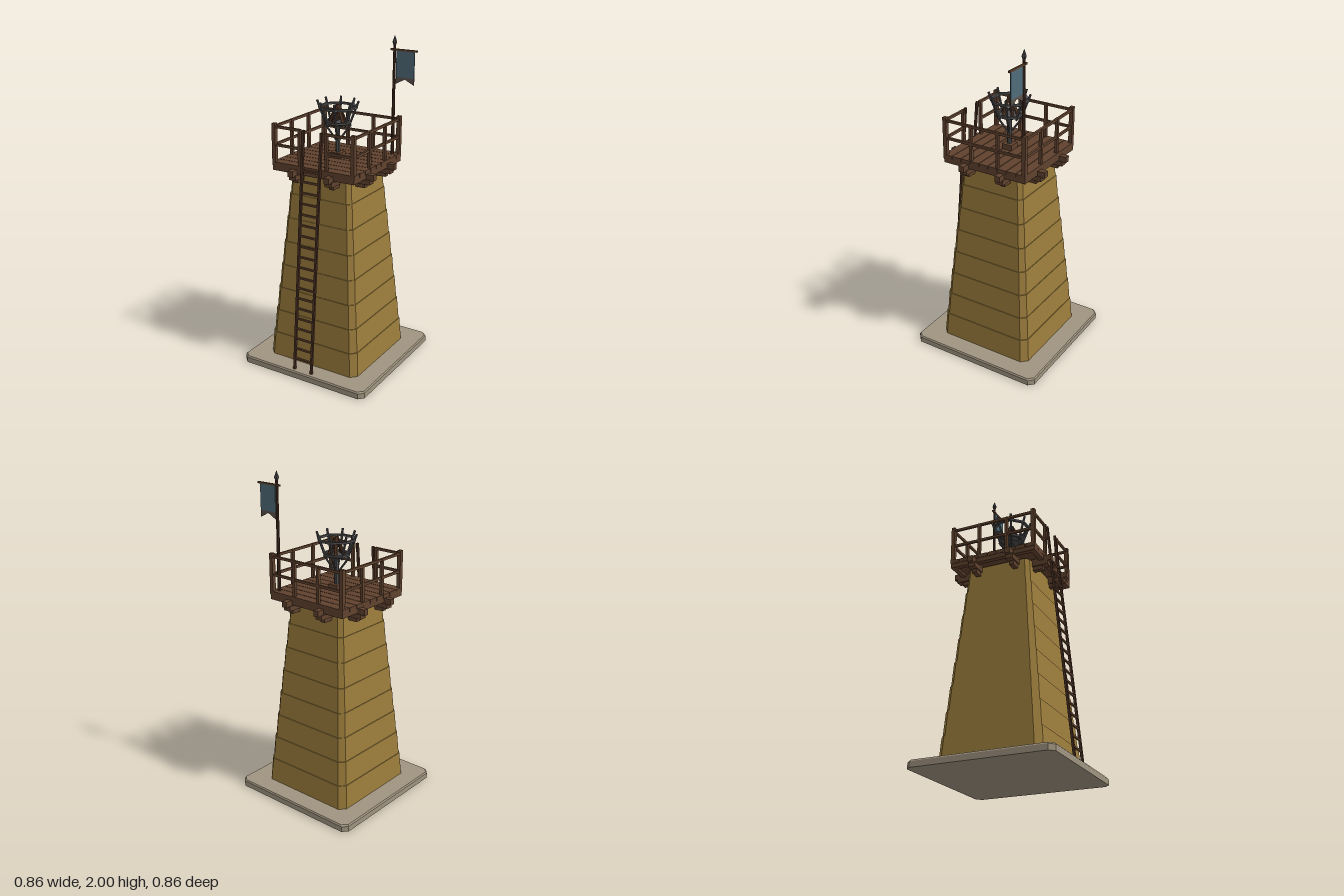
import * as THREE from 'three';

const mat = (name, color, side = THREE.FrontSide) => {
  const m = new THREE.MeshStandardMaterial({ color, side, flatShading: true });
  m.name = name;
  return m;
};

export function createModel() {
  const clay = mat('ochre masonry', 0x9c7d3c);
  const stone = mat('pale stone', 0xa09480);
  const wood = mat('timber', 0x60422e);
  const darkWood = mat('dark timber', 0x4a3023);
  const iron = mat('iron', 0x4e4e50);
  const cloth = mat('blue cloth', 0x4f6c79, THREE.DoubleSide);
  const hem = mat('flag hem', 0x5e5450, THREE.DoubleSide);

  const root = new THREE.Group();
  root.name = 'watchtower';
  const group = (name) => {
    const g = new THREE.Group();
    g.name = name;
    root.add(g);
    return g;
  };
  const add = (parent, name, geo, material, x = 0, y = 0, z = 0) => {
    const m = new THREE.Mesh(geo, material);
    m.name = name;
    m.position.set(x, y, z);
    parent.add(m);
    return m;
  };
  const box = (parent, name, material, w, h, d, x, y, z) =>
    add(parent, name, new THREE.BoxGeometry(w, h, d), material, x, y, z);
  // Bar between two points, its local y axis along the line
  const bar = (parent, name, material, geo, a, b) => {
    const from = new THREE.Vector3(...a), to = new THREE.Vector3(...b);
    const dir = to.clone().sub(from);
    const m = add(parent, name, geo(dir.length()), material);
    m.position.copy(from).add(to).multiplyScalar(0.5);
    m.quaternion.setFromUnitVectors(new THREE.Vector3(0, 1, 0), dir.normalize());
    return m;
  };
  // Loft of square sections with cut corners: [y, half width, cut]
  const cutSquareLoft = (sections) => {
    const rings = sections.map(([y, h, c]) => [
      [h, c - h], [h, h - c], [h - c, h], [c - h, h],
      [-h, h - c], [-h, c - h], [c - h, -h], [h - c, -h],
    ].map(([x, z]) => [x, y, z]));
    const pos = [];
    const tri = (...p) => p.forEach((v) => pos.push(...v));
    for (let r = 0; r < rings.length - 1; r++) {
      const a = rings[r], b = rings[r + 1];
      for (let i = 0; i < 8; i++) {
        const j = (i + 1) % 8;
        tri(a[i], b[i], b[j]);
        tri(a[i], b[j], a[j]);
      }
    }
    const bottom = rings[0], top = rings[rings.length - 1];
    for (let i = 1; i < 7; i++) {
      tri(bottom[0], bottom[i], bottom[i + 1]);
      tri(top[0], top[i + 1], top[i]);
    }
    const g = new THREE.BufferGeometry();
    g.setAttribute('position', new THREE.Float32BufferAttribute(pos, 3));
    g.computeVertexNormals();
    return g;
  };

  // Foundation slab
  add(root, 'foundation', cutSquareLoft([[0, 0.43, 0.03], [0.034, 0.43, 0.03], [0.043, 0.424, 0.03]]), stone);

  // Tapered tower of eight stepped courses
  const courses = [];
  for (let i = 0; i < 8; i++) {
    const half = 0.312 - i * 0.0145, cut = 0.036 - i * 0.0018;
    courses.push([0.043 + i * 0.15, half, cut], [0.043 + (i + 1) * 0.15, half - 0.0105, cut - 0.001]);
  }
  add(root, 'tower', cutSquareLoft(courses), clay);

  // Support beams and stepped corbels on four sides
  const supports = group('supports');
  for (let side = 0; side < 4; side++) {
    const g = new THREE.Group();
    g.name = 'supportSide';
    g.rotation.y = side * Math.PI / 2;
    supports.add(g);
    for (const x of [-0.122, 0.122]) {
      box(g, 'beam', wood, 0.034, 0.036, 0.16, x, 1.252, 0.242);
      box(g, 'bracket', wood, 0.046, 0.03, 0.13, x, 1.224, 0.235);
      box(g, 'corbel', wood, 0.03, 0.03, 0.1, x, 1.2, 0.215);
    }
    box(g, 'edgeBeam', wood, 0.55, 0.03, 0.03, 0, 1.258, 0.26);
  }

  // Plank deck
  const deck = group('deck');
  const pitch = 0.0618;
  for (let i = 0; i < 9; i++) box(deck, 'plank', wood, 0.556, 0.024, pitch - 0.004, 0, 1.282, (i - 4) * pitch);
  box(deck, 'subfloor', wood, 0.54, 0.02, 0.54, 0, 1.268, 0);

  // Railing, open at the front for the ladder
  const railing = group('railing');
  for (let side = 0; side < 4; side++) {
    const g = new THREE.Group();
    g.name = 'railingSide';
    g.rotation.y = side * Math.PI / 2;
    railing.add(g);
    box(g, 'cornerPost', wood, 0.024, 0.235, 0.024, 0.265, 1.405, 0.265);
    for (const s of [-1, 1]) {
      box(g, 'middlePost', wood, 0.018, 0.22, 0.018, s * 0.09, 1.4, 0.265);
      for (const y of [1.395, 1.503]) {
        if (side === 0) box(g, 'rail', wood, 0.175, 0.015, 0.013, s * 0.1775, y, 0.265);
        else if (s === 1) box(g, 'rail', wood, 0.53, 0.015, 0.013, 0, y, 0.265);
      }
    }
  }

  // Leaning ladder
  const ladder = group('ladder');
  const ladderZ = (y) => 0.4 - (y - 0.043) * 0.0895;
  for (const x of [-0.06, 0.06]) {
    bar(ladder, 'ladderRail', darkWood, (l) => new THREE.BoxGeometry(0.014, l, 0.014),
      [x, 0.043, ladderZ(0.043)], [x, 1.51, ladderZ(1.51)]);
  }
  for (let i = 0; i < 19; i++) {
    const y = 0.116 + i * 0.0645;
    box(ladder, 'rung', wood, 0.12, 0.011, 0.011, 0, y, ladderZ(y));
  }

  // Fire basket on a pedestal
  const brazier = group('brazier');
  box(brazier, 'foot', wood, 0.066, 0.034, 0.066, 0, 1.311, 0);
  add(brazier, 'stem', new THREE.CylinderGeometry(0.013, 0.015, 0.18, 8), iron, 0, 1.415, 0);
  add(brazier, 'pan', new THREE.CylinderGeometry(0.068, 0.05, 0.016, 8), iron, 0, 1.498, 0);
  const hoop = (name, inner, outer, y) => {
    const points = [[inner, -0.006], [outer, -0.006], [outer, 0.006], [inner, 0.006], [inner, -0.006]]
      .map(([r, h]) => new THREE.Vector2(r, h));
    add(brazier, name, new THREE.LatheGeometry(points, 8), iron, 0, y, 0).rotation.y = Math.PI / 8;
  };
  hoop('lowerHoop', 0.066, 0.082, 1.51);
  hoop('upperHoop', 0.1, 0.118, 1.598);
  const polar = (r, a, y) => [r * Math.sin(a), y, r * Math.cos(a)];
  for (let i = 0; i < 8; i++) {
    const a = (i + 0.5) * Math.PI / 4;
    bar(brazier, 'spike', iron, (l) => new THREE.BoxGeometry(0.01, l, 0.01), polar(0.068, a, 1.49), polar(0.122, a, 1.635));
    if (i % 2 === 0) {
      bar(brazier, 'strut', iron, (l) => new THREE.CylinderGeometry(0.006, 0.006, l, 6),
        polar(0.01, a, 1.4), polar(0.078, a, 1.495));
    }
  }
  for (let i = 0; i < 5; i++) {
    const a = i * Math.PI * 0.4;
    bar(brazier, 'log', i % 2 ? wood : darkWood, (l) => new THREE.CylinderGeometry(0.009, 0.011, l, 6),
      polar(0.046, a, 1.51), polar(0.004, a, 1.612));
  }

  // Flagpole, crossbar and swallow-tailed flag
  const flag = group('flag');
  const px = 0.237, pz = -0.24;
  add(flag, 'pole', new THREE.CylinderGeometry(0.008, 0.011, 0.67, 8), darkWood, px, 1.615, pz);
  add(flag, 'spearCollar', new THREE.CylinderGeometry(0.014, 0.009, 0.015, 8), iron, px, 1.953, pz);
  add(flag, 'spearTip', new THREE.ConeGeometry(0.014, 0.04, 8), iron, px, 1.98, pz);
  box(flag, 'crossbar', wood, 0.172, 0.011, 0.011, 0.298, 1.916, pz);
  const sheet = (name, points, material) => {
    const shape = new THREE.Shape(points.map(([x, y]) => new THREE.Vector2(x, y)));
    const geo = new THREE.ExtrudeGeometry(shape, { depth: 0.005, bevelEnabled: false });
    add(flag, name, geo, material, 0, 0, pz - 0.0025);
  };
  sheet('flagCloth', [[0.25, 1.912], [0.25, 1.758], [0.368, 1.758], [0.368, 1.912]], cloth);
  sheet('flagTail', [[0.25, 1.758], [0.25, 1.718], [0.309, 1.748], [0.368, 1.718], [0.368, 1.758]], hem);

  return root;
}
